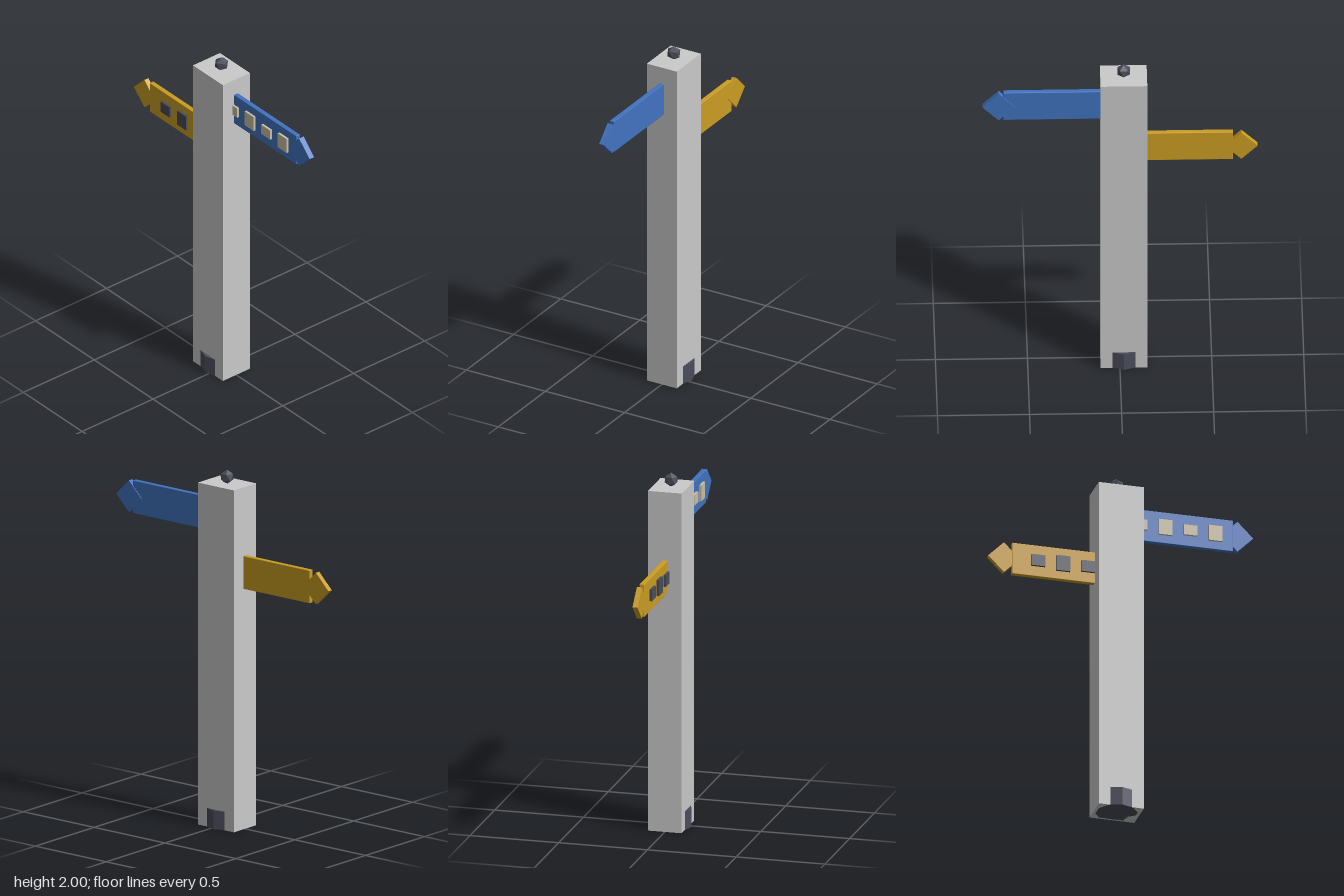
import * as THREE from 'three';
import { RoundedBoxGeometry } from 'three/addons/geometries/RoundedBoxGeometry.js';

const material = (name, color, flatShading = false) => {
  const m = new THREE.MeshStandardMaterial({ color, flatShading });
  m.name = name;
  return m;
};

export function createModel() {
  const grey = material('post grey', 0xcacaca);
  const blue = material('sign blue', 0x4173c0);
  const yellow = material('sign yellow', 0xcb9d22);
  const cream = material('plate cream', 0xcac0a4);
  const slate = material('dark slate', 0x4a4c5a, true);

  const model = new THREE.Group();
  model.name = 'signpost';
  const POST_X = -0.022;

  const add = (parent, name, geometry, mat, x, y, z) => {
    const mesh = new THREE.Mesh(geometry, mat);
    mesh.name = name;
    mesh.position.set(x, y, z);
    parent.add(mesh);
    return mesh;
  };

  // Square post
  add(model, 'post', new THREE.BoxGeometry(0.254, 1.925, 0.19), grey, POST_X, 0.9625, 0);

  // Ten-sided collar showing through the front and back of the foot
  add(model, 'footCollar', new THREE.CylinderGeometry(0.115, 0.115, 0.105, 10), slate, POST_X, 0.0525, 0);

  // Faceted finial, one vertex pointing up
  const finial = new THREE.IcosahedronGeometry(0.04, 0);
  finial.rotateX(-Math.atan((1 + Math.sqrt(5)) / 2));
  add(model, 'finial', finial, slate, POST_X, 1.96, 0);

  // Arrow sign: bevelled board, diamond tip and a row of raised plates
  function addSign(name, s) {
    const sign = new THREE.Group();
    sign.name = name;
    const width = Math.abs(s.end - POST_X);
    add(sign, 'board', new RoundedBoxGeometry(width, 0.186, 0.028, 2, 0.004), s.color,
      (s.end + POST_X) / 2, s.y, 0.001);
    const tip = add(sign, 'arrowTip', new THREE.BoxGeometry(0.126, 0.126, s.tipDepth), s.color,
      s.tipX, s.y, 0.014 - s.tipDepth / 2);
    tip.rotation.z = Math.PI / 4;
    s.plates.forEach(([x, h]) =>
      add(sign, 'plate', new THREE.BoxGeometry(0.077, h, 0.018), s.plateColor, x, s.y, 0.019));
    model.add(sign);
  }

  addSign('blueSign', {
    color: blue, plateColor: cream, y: 1.735, end: 0.632, tipX: 0.656, tipDepth: 0.032,
    plates: [[0.107, 0.06], [0.248, 0.09], [0.388, 0.06], [0.529, 0.09]],
  });
  addSign('yellowSign', {
    color: yellow, plateColor: slate, y: 1.446, end: -0.616, tipX: -0.661, tipDepth: 0.0285,
    plates: [[-0.047, 0.09], [-0.188, 0.066], [-0.329, 0.09], [-0.47, 0.066]],
  });

  return model;
}
